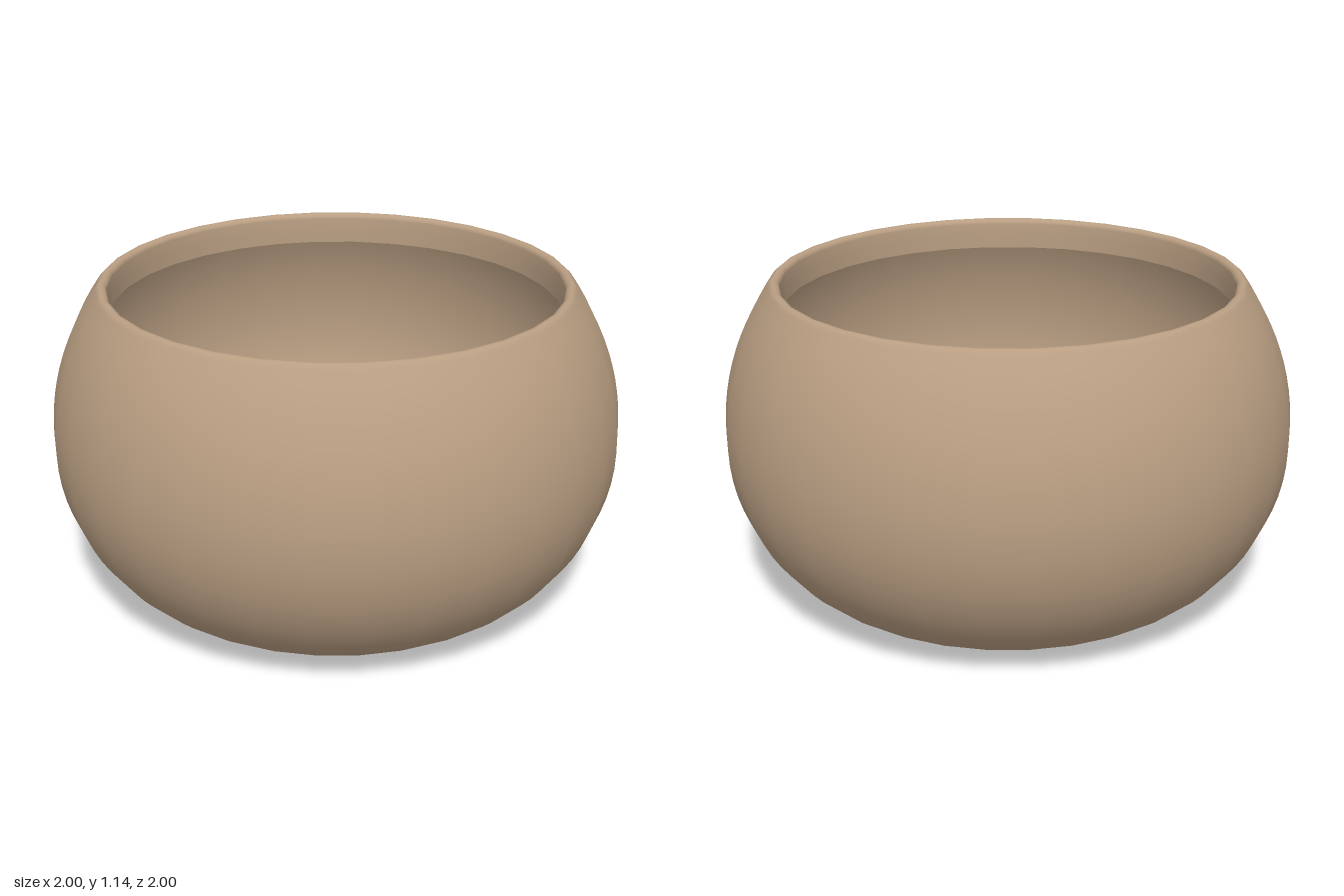
import * as THREE from 'three';

const SEGMENTS = 32;

// Points along an elliptical arc between two angles (degrees)
function arc(centerR, centerY, radiusR, radiusY, from, to, steps) {
  const points = [];
  for (let i = 0; i <= steps; i++) {
    const a = THREE.MathUtils.degToRad(from + ((to - from) * i) / steps);
    points.push(new THREE.Vector2(centerR + radiusR * Math.cos(a), centerY + radiusY * Math.sin(a)));
  }
  return points;
}

export function createModel() {
  const group = new THREE.Group();
  group.name = 'bowl';

  // The bowl is one thin open shell, seen from inside and outside
  const clay = new THREE.MeshStandardMaterial({ color: 0xb99e82, side: THREE.DoubleSide });
  clay.name = 'clay';

  const profile = [
    new THREE.Vector2(0.065, 0),                      // edge of the drain hole
    ...arc(0.48, 0.6, 0.52, 0.6, -90, 0, 16),         // foot and lower belly
    ...arc(0, 0.6, 1, 0.94, 3, 34, 10),               // upper belly
    ...arc(0.807, 1.122, 0.02, 0.02, 35, 175, 6),     // rounded rim
    new THREE.Vector2(0.785, 1.08),                   // lip turned down inside
    new THREE.Vector2(0.785, 1.03),
  ];
  const shell = new THREE.Mesh(new THREE.LatheGeometry(profile, SEGMENTS), clay);
  shell.name = 'bowlShell';
  group.add(shell);

  return group;
}
